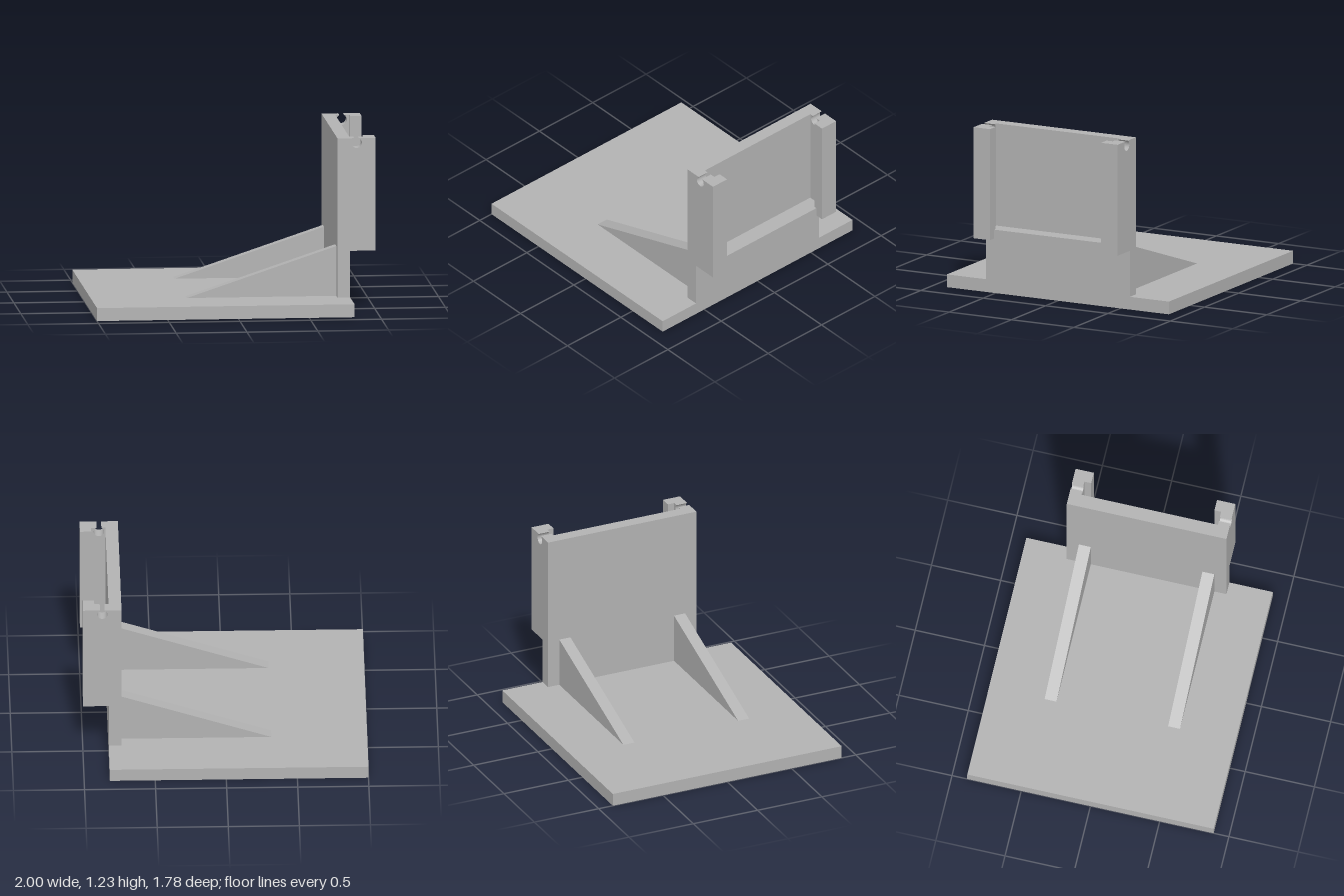
import * as THREE from 'three';

const grey = new THREE.MeshStandardMaterial({ color: 0xb2b2b2 });
grey.name = 'plain grey';

// Box given by its limits on each axis
function box(name, x0, x1, y0, y1, z0, z1) {
  const g = new THREE.BoxGeometry(x1 - x0, y1 - y0, z1 - z0);
  g.translate((x0 + x1) / 2, (y0 + y1) / 2, (z0 + z1) / 2);
  const m = new THREE.Mesh(g, grey);
  m.name = name;
  return m;
}

// Profile in the xy plane, extruded from z0 to z1
function slab(name, shape, z0, z1) {
  const g = new THREE.ExtrudeGeometry(shape, { depth: z1 - z0, bevelEnabled: false, curveSegments: 24 });
  g.translate(0, 0, z0);
  const m = new THREE.Mesh(g, grey);
  m.name = name;
  return m;
}

export function createModel() {
  const model = new THREE.Group();
  model.name = 'slottedStand';

  const baseTop = 0.092, holderBottom = 0.424, top = 1.225;
  const wallBack = 0.73, wallFront = 0.82;
  const outer = 0.577, slot = 0.494, lipInner = 0.445;

  model.add(box('base', -1, wallFront, 0, baseTop, -0.89, 0.89));
  model.add(box('wall', wallBack, wallFront, baseTop, top, -slot, slot));

  // Ledge closing the slot at the bottom
  model.add(box('slotFloor', wallFront, 0.92, holderBottom, 0.488, -slot, slot));
  model.add(box('ledge', 0.92, 0.94, holderBottom, 0.488, -lipInner, lipInner));

  // Side cheek with a round pin hole that opens through the top edge
  const cx = 0.865, r = 0.037, dx = 0.0167;
  const cy = top - Math.sqrt(r * r - dx * dx);
  const a = Math.acos(dx / r);
  const cheek = new THREE.Shape();
  cheek.moveTo(wallBack, baseTop);
  cheek.lineTo(wallFront, baseTop);
  cheek.lineTo(wallFront, holderBottom);
  cheek.lineTo(1, holderBottom);
  cheek.lineTo(1, top);
  cheek.lineTo(cx + dx, top);
  cheek.absarc(cx, cy, r, a, Math.PI - a, true);
  cheek.lineTo(wallBack, top);
  cheek.closePath();

  // Triangular brace behind the wall
  const brace = new THREE.Shape();
  brace.moveTo(-0.326, baseTop);
  brace.lineTo(wallBack, baseTop);
  brace.lineTo(wallBack, 0.446);
  brace.closePath();

  for (const [side, s] of [['left', -1], ['right', 1]]) {
    const span = (p, q) => (s > 0 ? [p, q] : [-q, -p]);
    model.add(slab(side === 'left' ? 'rearCheek' : 'frontCheek', cheek, ...span(slot, outer)));
    model.add(box(s < 0 ? 'rearLip' : 'frontLip', 0.92, 1, holderBottom, top, ...span(lipInner, slot)));
    model.add(slab(s < 0 ? 'rearBrace' : 'frontBrace', brace, ...span(0.403, 0.489)));
  }

  return model;
}
